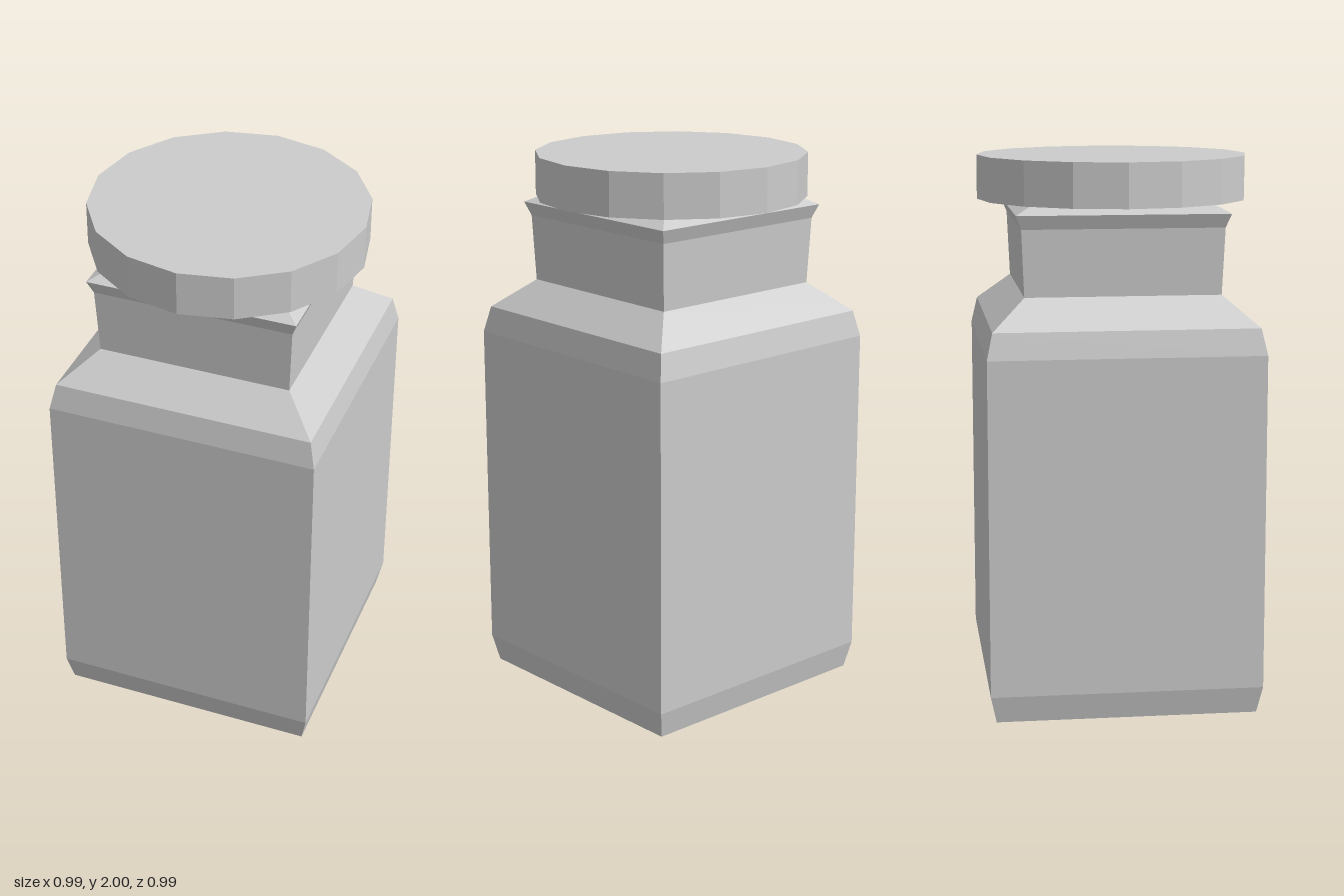
import * as THREE from 'three';

const material = new THREE.MeshStandardMaterial({ color: 0xcccccc, flatShading: true, side: THREE.DoubleSide });

// Revolve a [radius, y] profile with a given number of flat sides
function turned(name, profile, sides) {
  const points = profile.map(([r, y]) => new THREE.Vector2(r, y));
  const mesh = new THREE.Mesh(new THREE.LatheGeometry(points, sides), material);
  mesh.name = name;
  return mesh;
}

// Square section: profile gives half-widths, sides face the axes
function squareTurned(name, profile) {
  const mesh = turned(name, profile.map(([h, y]) => [h * Math.SQRT2, y]), 4);
  mesh.geometry.rotateY(Math.PI / 4);
  return mesh;
}

export function createModel() {
  const jar = new THREE.Group();
  jar.name = 'squareJar';

  // Body with chamfered base and shoulders
  jar.add(squareTurned('body', [
    [0, 0], [0.474, 0], [0.495, 0.1], [0.495, 1.32], [0.474, 1.415], [0.352, 1.52],
  ]));

  // Neck with flared lip and a narrow mouth reaching up into the lid
  jar.add(squareTurned('neck', [
    [0.352, 1.52], [0.362, 1.76], [0.381, 1.81], [0.325, 1.84], [0.25, 1.88], [0.25, 1.995],
  ]));

  // Hollow sixteen-sided lid, open underneath
  jar.add(turned('lid', [[0.495, 1.84], [0.495, 2], [0, 2]], 16));

  return jar;
}
